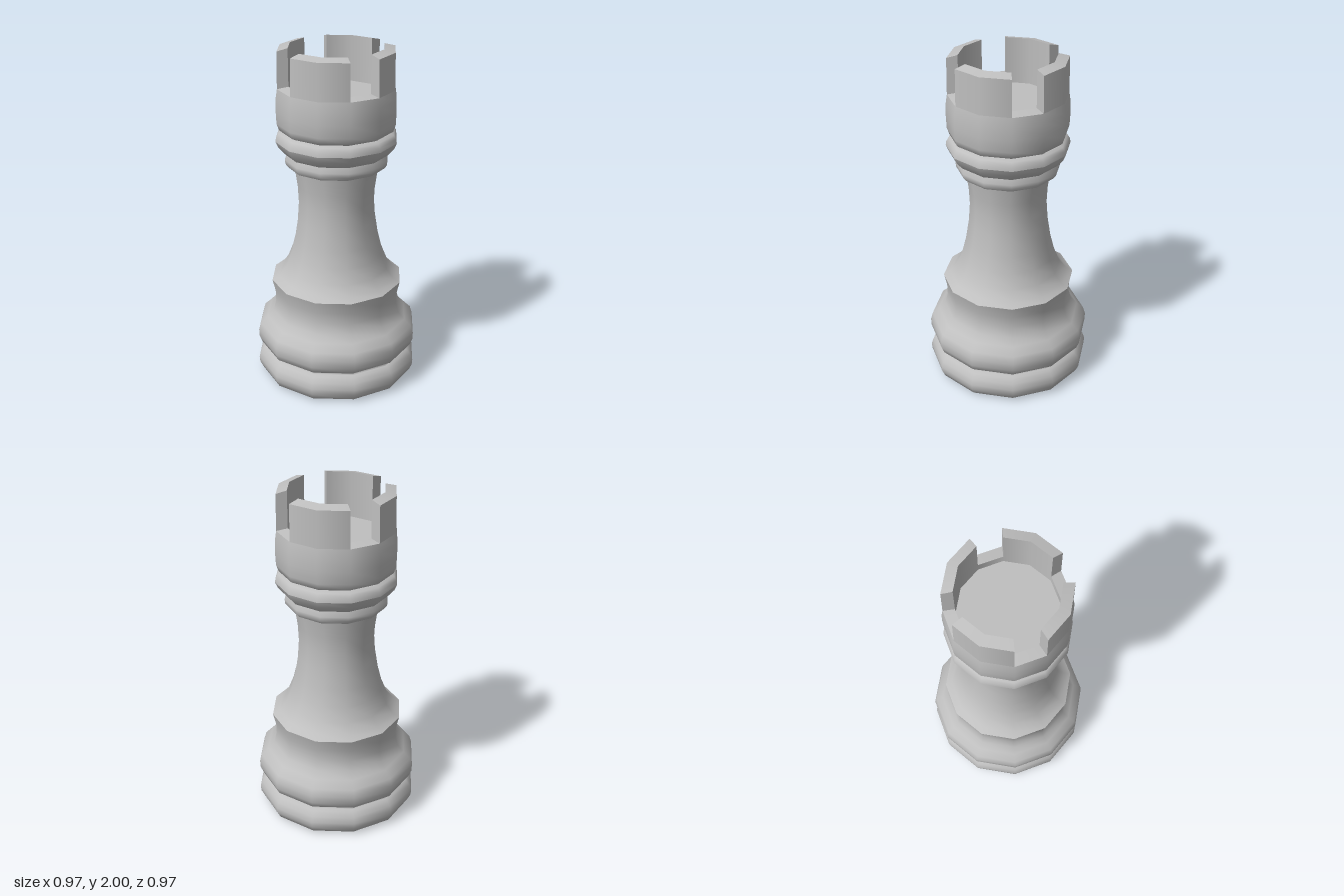
import * as THREE from 'three';

const SIDES = 12;
const STEP = (Math.PI * 2) / SIDES;

export function createModel() {
  const model = new THREE.Group();
  model.name = 'rookPiece';
  const stone = new THREE.MeshStandardMaterial({ color: 0xbfbfbf, side: THREE.DoubleSide });
  stone.name = 'greyStone';

  const toPoints = (list) => list.map(([r, y]) => new THREE.Vector2(r, y));

  // Turned section; separate sections meet in a sharp edge
  function turn(name, profile, parent = model, first = 0, count = SIDES) {
    const geometry = new THREE.LatheGeometry(toPoints(profile), count, first * STEP, count * STEP);
    const mesh = new THREE.Mesh(geometry, stone);
    mesh.name = name;
    parent.add(mesh);
  }

  // Base and body
  turn('underside', [[0, 0], [0.43, 0]]);
  turn('baseRing', [[0.43, 0], [0.462, 0.02], [0.481, 0.06], [0.484, 0.095],
    [0.472, 0.13], [0.45, 0.157], [0.43, 0.165]]);
  turn('baseGroove', [[0.43, 0.165], [0.425, 0.17], [0.425, 0.178], [0.435, 0.18]]);
  turn('bulge', [[0.435, 0.18], [0.463, 0.2], [0.479, 0.24], [0.481, 0.285], [0.468, 0.33],
    [0.425, 0.37], [0.388, 0.41], [0.371, 0.47], [0.373, 0.54], [0.39, 0.612]]);
  turn('shaft', [[0.39, 0.612], [0.35, 0.637], [0.308, 0.69], [0.274, 0.775], [0.25, 0.87],
    [0.231, 0.99], [0.223, 1.1], [0.228, 1.2], [0.245, 1.32]]);

  // Neck rings
  turn('lowerCollarUnderside', [[0.245, 1.32], [0.282, 1.32]]);
  turn('lowerCollar', [[0.282, 1.32], [0.296, 1.34], [0.299, 1.365], [0.285, 1.4]]);
  turn('upperCollarUnderside', [[0.285, 1.4], [0.302, 1.402], [0.335, 1.44], [0.35, 1.475]]);
  turn('upperCollar', [[0.35, 1.475], [0.346, 1.5], [0.332, 1.522], [0.305, 1.53]]);

  // Tower head and its hollow
  turn('head', [[0.305, 1.53], [0.328, 1.542], [0.341, 1.58], [0.344, 1.65],
    [0.343, 1.72], [0.334, 1.777]]);
  turn('hollowWall', [[0.27, 1.787], [0.27, 1.735]]);
  turn('hollowFloor', [[0.27, 1.735], [0, 1.735]]);

  // Four battlements, each two sides wide, with a one-side gap between
  const section = [[0.334, 1.777], [0.331, 1.985], [0.27, 2], [0.27, 1.787]];
  const endGeometry = new THREE.ShapeGeometry(new THREE.Shape(toPoints(section)));
  for (let i = 0; i < 4; i++) {
    const first = i * 3 - 1;
    const battlement = new THREE.Group();
    battlement.name = 'battlement' + (i + 1);
    model.add(battlement);
    turn('outerFace', section.slice(0, 2), battlement, first, 2);
    turn('topFace', section.slice(1, 3), battlement, first, 2);
    turn('innerFace', section.slice(2, 4), battlement, first, 2);
    for (const edge of [first, first + 2]) {
      const end = new THREE.Mesh(endGeometry, stone);
      end.name = 'endFace';
      end.rotation.y = edge * STEP - Math.PI / 2;
      battlement.add(end);
    }
    turn('gapFloor' + (i + 1), [section[0], section[3]], model, first + 2, 1);
  }
  return model;
}
